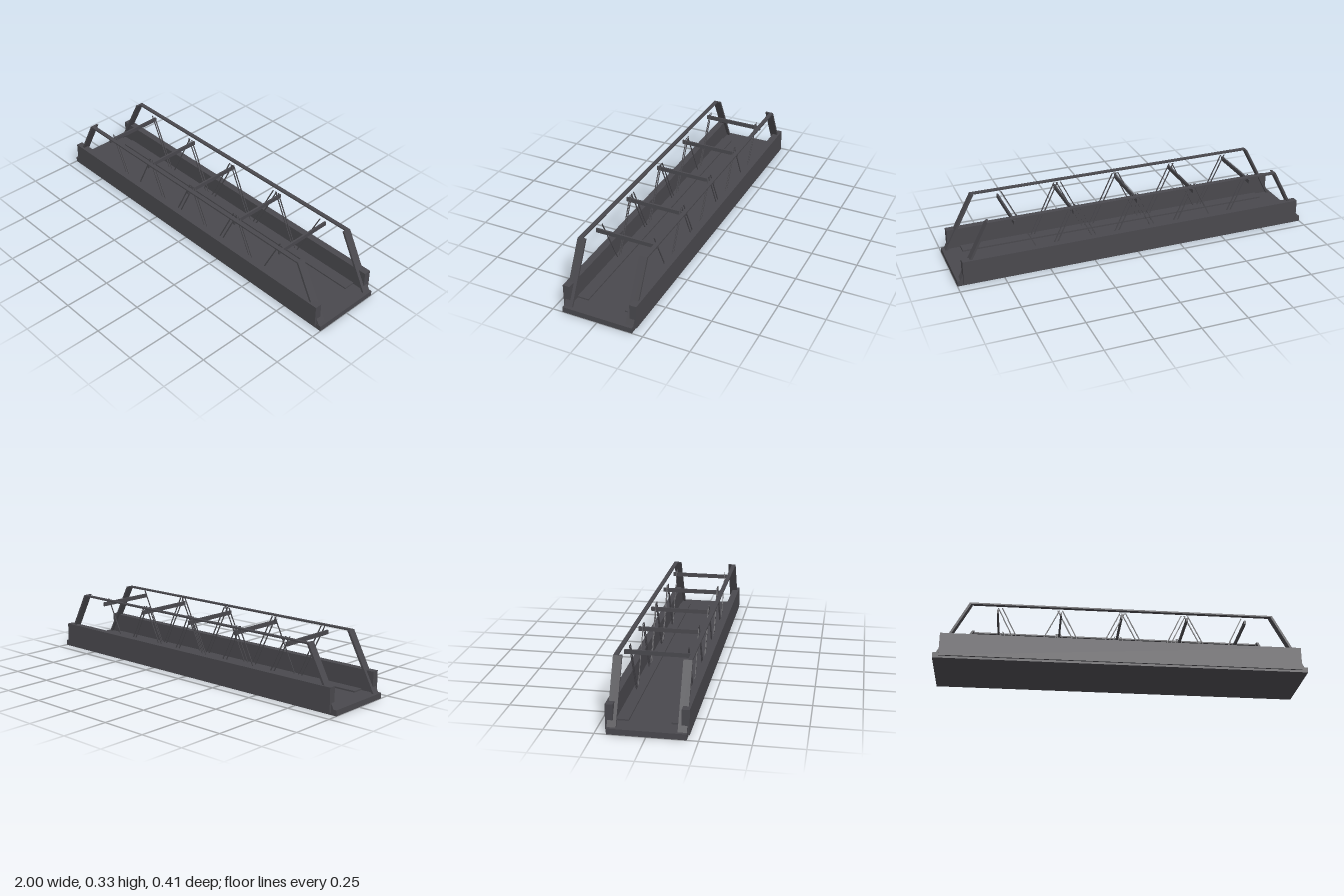
import * as THREE from 'three';

export function createModel() {
  const model = new THREE.Group();
  model.name = 'trussBridge';
  const steel = new THREE.MeshStandardMaterial({ color: 0x49484d });
  steel.name = 'dark grey steel';

  // Box given by its extents on each axis
  function box(name, x0, x1, y0, y1, z0, z1) {
    const mesh = new THREE.Mesh(new THREE.BoxGeometry(x1 - x0, y1 - y0, z1 - z0), steel);
    mesh.name = name;
    mesh.position.set((x0 + x1) / 2, (y0 + y1) / 2, (z0 + z1) / 2);
    model.add(mesh);
  }

  // Sloping bar with level ends, t wide along x, between two heights
  function slope(name, xLow, yLow, xHigh, yHigh, t, z0, z1) {
    const shape = new THREE.Shape();
    shape.moveTo(xLow - t / 2, yLow);
    shape.lineTo(xLow + t / 2, yLow);
    shape.lineTo(xHigh + t / 2, yHigh);
    shape.lineTo(xHigh - t / 2, yHigh);
    shape.closePath();
    const mesh = new THREE.Mesh(
      new THREE.ExtrudeGeometry(shape, { depth: z1 - z0, bevelEnabled: false }), steel);
    mesh.name = name;
    mesh.position.z = z0;
    model.add(mesh);
  }

  // Road deck
  box('deck', -1, 1, 0, 0.03, -0.192, 0.194);

  // Top x of each diagonal, grouped by the way it leans
  const fallingTops = [-0.672, -0.65, -0.35, -0.325, -0.003, 0.02, 0.342, 0.362];
  const risingTops = [-0.342, -0.012, 0.012, 0.325, 0.348, 0.66];

  for (const s of [1, -1]) {
    const span = (a, b) => (s > 0 ? [a, b] : [-b, -a]);
    // Side girder, low kerb and top chord
    box('sideGirder', -0.968, 0.968, 0.012, 0.14, ...span(0.165, 0.203));
    box('kerb', -0.9, 0.9, 0.028, 0.038, ...span(0.103, 0.166));
    box('topChord', -0.815, 0.815, 0.325, 0.333, ...span(0.17, 0.192));

    // Sloping end posts
    for (const e of [1, -1]) {
      slope('endPost', e * 0.978, 0.028, e * 0.817, 0.333, 0.013, ...span(0.148, 0.192));
    }

    // Thin truss diagonals
    for (const x of fallingTops) {
      slope('diagonal', x + 0.145, 0.03, x, 0.33, 0.006, ...span(0.144, 0.148));
    }
    for (const x of risingTops) {
      slope('diagonal', x - 0.145, 0.03, x, 0.33, 0.006, ...span(0.144, 0.148));
    }
  }

  // Overhead cross beams
  for (const x of [-0.673, -0.333, -0.005, 0.353, 0.675]) {
    box('crossBeam', x - 0.005, x + 0.005, 0.285, 0.307, -0.172, 0.172);
  }

  return model;
}
